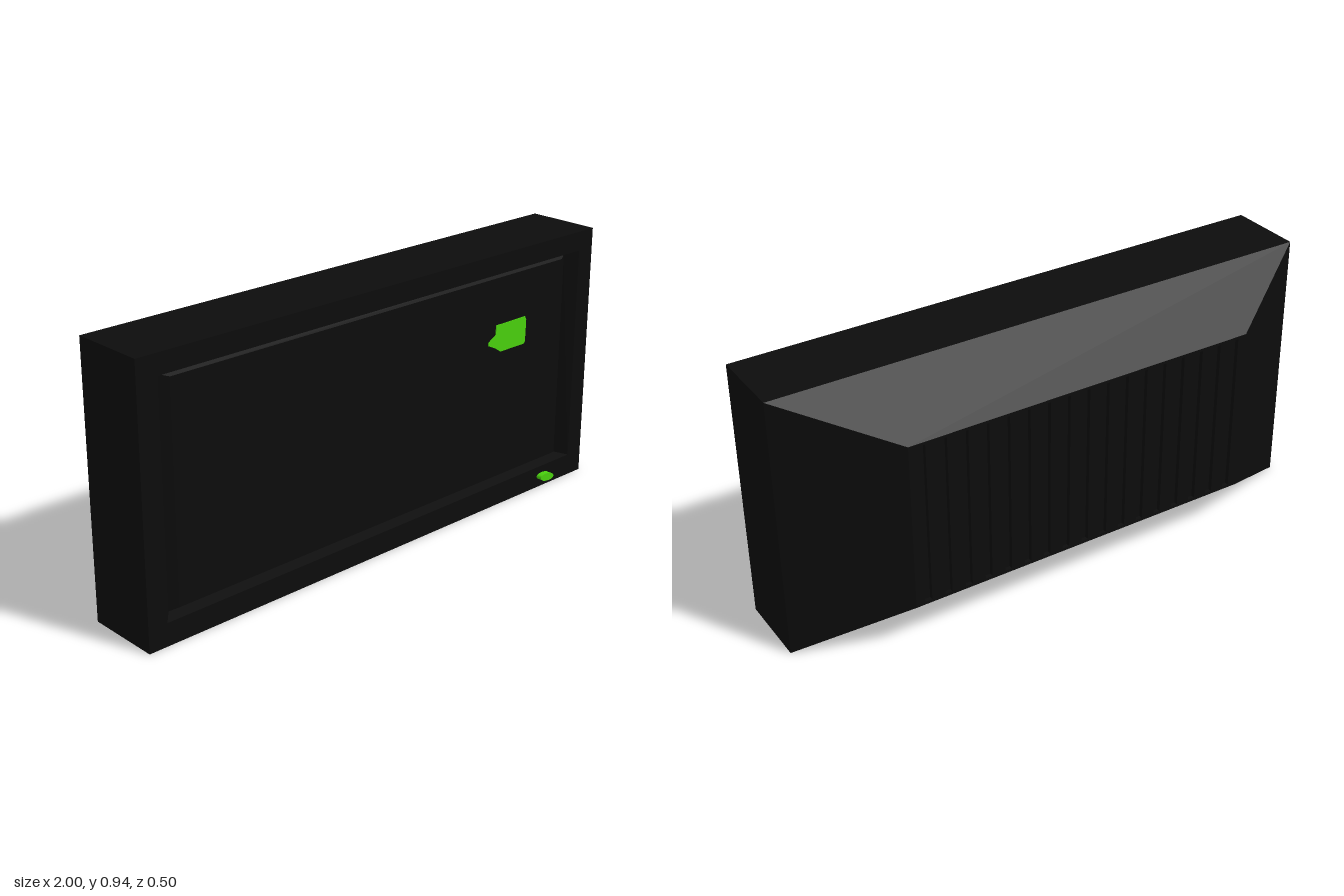
import * as THREE from 'three';

// Joins rectangular rings [halfWidth, bottom, top, z], ordered from back to front
function loftRects(rings, capFront = false) {
  const corners = rings.map(([w, b, t, z]) => [[-w, b, z], [w, b, z], [w, t, z], [-w, t, z]]);
  const pos = [];
  const quad = (a, b, c, d) => pos.push(...a, ...b, ...c, ...a, ...c, ...d);
  for (let r = 0; r < corners.length - 1; r++) {
    for (let i = 0; i < 4; i++) {
      const j = (i + 1) % 4;
      quad(corners[r][i], corners[r][j], corners[r + 1][j], corners[r + 1][i]);
    }
  }
  if (capFront) quad(...corners[corners.length - 1]);
  const geo = new THREE.BufferGeometry();
  geo.setAttribute('position', new THREE.Float32BufferAttribute(pos, 3));
  geo.computeVertexNormals();
  return geo;
}

export function createModel() {
  const group = new THREE.Group();
  const black = new THREE.MeshStandardMaterial({ color: 0x0c0c0c });
  black.name = 'black casing';
  const green = new THREE.MeshStandardMaterial({ color: 0x49d00d });
  green.name = 'bright green';

  const add = (name, geo, mat, x = 0, y = 0, z = 0) => {
    const mesh = new THREE.Mesh(geo, mat);
    mesh.name = name;
    mesh.position.set(x, y, z);
    group.add(mesh);
    return mesh;
  };

  // Tapered rear housing, straight sides and flat bezel
  add('casing', loftRects([
    [0.645, 0.17, 0.775, -0.25],
    [1, 0, 0.94, -0.04],
    [1, 0, 0.94, 0.23],
    [0.93, 0.08, 0.87, 0.23],
  ]), black);

  // Groove around the screen, then the screen itself
  add('screen', loftRects([
    [0.93, 0.08, 0.87, 0.23],
    [0.895, 0.09, 0.857, 0.19],
    [0.865, 0.1, 0.847, 0.207],
  ], true), black);

  // Rear grille with a row of vertical slots
  const grille = new THREE.Shape();
  grille.moveTo(-0.645, 0.17).lineTo(0.645, 0.17).lineTo(0.645, 0.775).lineTo(-0.645, 0.775);
  for (let i = 0; i < 17; i++) {
    const x = (i - 8) * 0.075;
    const slot = new THREE.Path();
    slot.moveTo(x - 0.013, 0.18).lineTo(x - 0.013, 0.765);
    slot.lineTo(x + 0.013, 0.765).lineTo(x + 0.013, 0.18);
    grille.holes.push(slot);
  }
  add('rearGrille', new THREE.ExtrudeGeometry(grille, { depth: 0.015, bevelEnabled: false }), black, 0, 0, -0.25);
  const floor = add('slotFloor', new THREE.PlaneGeometry(1.28, 0.6), black, 0, 0.4725, -0.234);
  floor.rotation.y = Math.PI;

  // Green patch lit on the screen
  const patch = new THREE.Shape([
    [0.68, 0.583], [0.682, 0.665], [0.675, 0.677], [0.527, 0.677], [0.525, 0.642],
    [0.49, 0.622], [0.49, 0.61], [0.525, 0.594], [0.552, 0.576], [0.672, 0.576],
  ].map(([x, y]) => new THREE.Vector2(x, y)));
  add('screenPatch', new THREE.ExtrudeGeometry(patch, { depth: 0.003, bevelEnabled: false }), green, 0, 0, 0.207);

  // Oval power button on the lower bezel
  const button = new THREE.CylinderGeometry(1, 1, 0.03, 12);
  button.rotateX(Math.PI / 2);
  button.scale(0.037, 0.015, 1);
  button.rotateZ(-0.15);
  add('powerButton', button, green, 0.792, 0.038, 0.236);

  return group;
}
